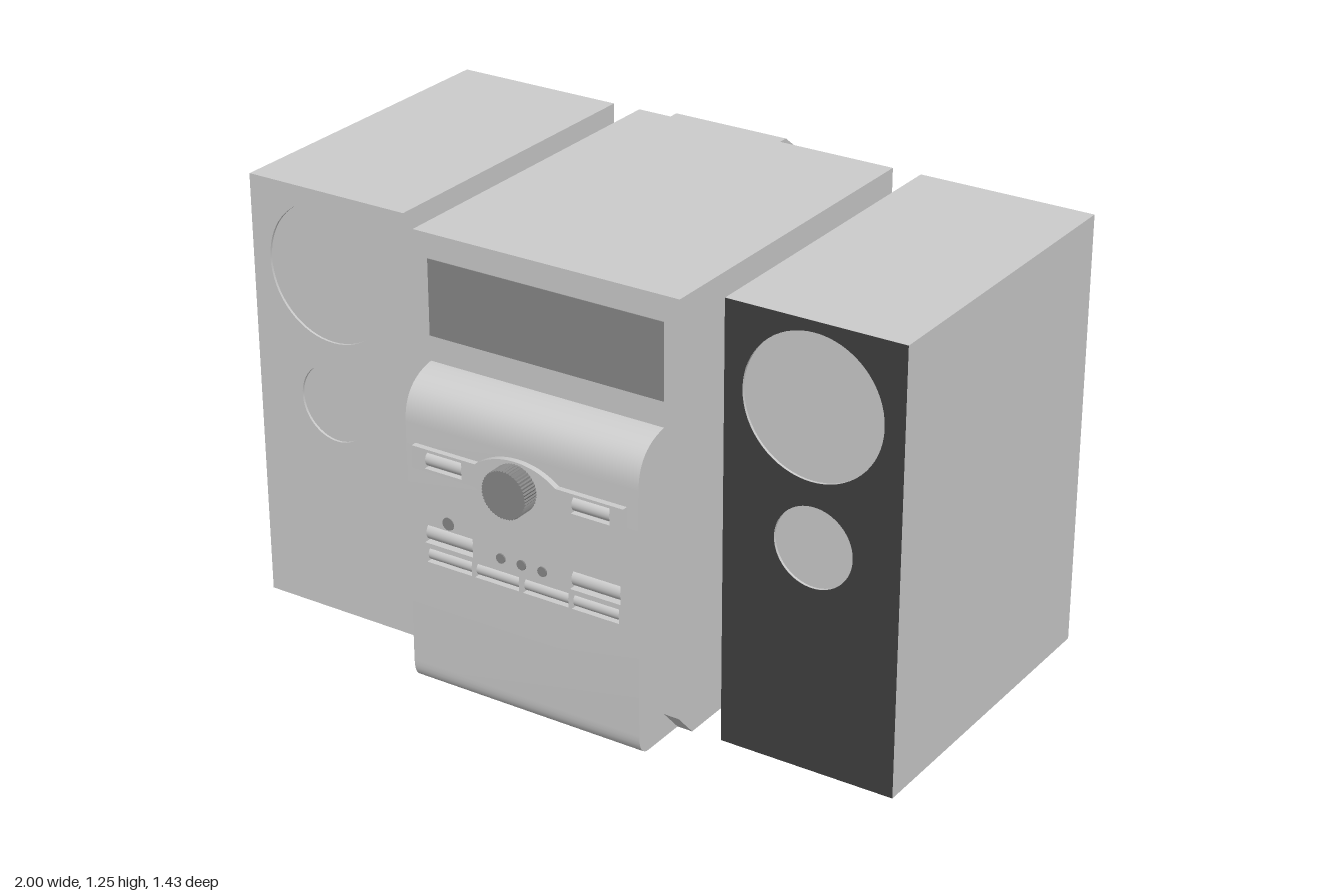
import * as THREE from 'three';
import { toCreasedNormals } from 'three/addons/utils/BufferGeometryUtils.js';

const paint = (color) => new THREE.MeshStandardMaterial({ color });
const grey = paint(0xcccccc), darkGrey = paint(0x888888), black = paint(0x404040);

function add(parent, name, geometry, material = grey) {
  const mesh = new THREE.Mesh(geometry, material);
  mesh.name = name;
  parent.add(mesh);
  return mesh;
}

// Box given by its limits on each axis
function box(x0, x1, y0, y1, z0, z1) {
  return new THREE.BoxGeometry(x1 - x0, y1 - y0, z1 - z0)
    .translate((x0 + x1) / 2, (y0 + y1) / 2, (z0 + z1) / 2);
}

function rect(x0, x1, y0, y1, Type = THREE.Shape) {
  return new Type([[x0, y0], [x1, y0], [x1, y1], [x0, y1]].map((p) => new THREE.Vector2(...p)));
}

function disc(x, y, r, Type = THREE.Path) {
  return new Type().absarc(x, y, r, 0, Math.PI * 2, false);
}

// Front-facing shape given thickness from z0 to z1
function plate(shape, z0, z1) {
  const g = new THREE.ExtrudeGeometry(shape, { depth: z1 - z0, bevelEnabled: false, curveSegments: 32 });
  return toCreasedNormals(g.translate(0, 0, z0), 0.5);
}

// Side profile of [z, y] points swept from x0 to x1
function sweep(points, x0, x1) {
  const shape = new THREE.Shape(points.map(([z, y]) => new THREE.Vector2(-z, y)));
  const g = new THREE.ExtrudeGeometry(shape, { depth: x1 - x0, bevelEnabled: false });
  return toCreasedNormals(g.rotateY(Math.PI / 2).translate(x0, 0, 0), 0.5);
}

function curve(a, b, c, n = 12) {
  const v = (p) => new THREE.Vector2(...p);
  return new THREE.QuadraticBezierCurve(v(a), v(b), v(c)).getPoints(n).map((p) => [p.x, p.y]);
}

// Horizontal roller-shaped button
function roller(x0, x1, y, z, r) {
  return new THREE.CylinderGeometry(r, r, x1 - x0, 24).rotateZ(Math.PI / 2).translate((x0 + x1) / 2, y, z);
}

function dial(x, y, r, z0, z1) {
  return new THREE.CylinderGeometry(r, r, z1 - z0, 24).rotateX(Math.PI / 2).translate(x, y, (z0 + z1) / 2);
}

function speaker(name, x0, x1, drivers, frontMaterial) {
  const g = new THREE.Group();
  g.name = name;
  add(g, 'speakerBox', box(x0, x1, 0, 1.25, -0.51, 0.452));
  // Front baffle with shallow round driver openings
  const front = rect(x0, x1, 0, 1.25);
  drivers.forEach(([x, y, r]) => front.holes.push(disc(x, y, r)));
  // Only the forward face takes the baffle colour; its rim matches the box
  add(g, 'speakerBaffle', plate(front, 0.452, 0.459));
  add(g, 'speakerFront', new THREE.ShapeGeometry(front, 32).translate(0, 0, 0.46), frontMaterial);
  return g;
}

function controlPanel() {
  const g = new THREE.Group();
  g.name = 'controlPanel';
  // Bulging body with a notch that takes the button plate
  add(g, 'panelBody', sweep([
    [0.465, 0], ...curve([0.6, 0], [0.645, 0], [0.645, 0.06], 8),
    [0.645, 0.34], [0.61, 0.34], [0.61, 0.53], [0.645, 0.53],
    ...curve([0.645, 0.765], [0.645, 0.875], [0.53, 0.893]), [0.465, 0.893],
  ], -0.36, 0.36));

  // Button plate with wells, and a roller in each well
  const buttons = [
    [-0.31, -0.155, 0.455, 0.027], [0.15, 0.305, 0.455, 0.027],
    [-0.305, -0.16, 0.393, 0.021], [-0.15, -0.01, 0.393, 0.021],
    [0.002, 0.145, 0.393, 0.021], [0.155, 0.3, 0.393, 0.021],
  ];
  const face = rect(-0.36, 0.36, 0.34, 0.53);
  buttons.forEach(([x0, x1, y, r]) => {
    face.holes.push(rect(x0, x1, y - r, y + r, THREE.Path));
    add(g, 'button', roller(x0 + 0.003, x1 - 0.003, y, 0.645 - r, r - 0.002));
  });
  add(g, 'buttonPlate', plate(face, 0.61, 0.645));

  // Indicator lamps
  for (const x of [-0.065, 0, 0.065]) add(g, 'lamp', dial(x, 0.453, 0.014, 0.64, 0.649), darkGrey);
  add(g, 'powerLamp', dial(-0.232, 0.504, 0.018, 0.64, 0.647), darkGrey);

  // Bezel: a bar widening to an eye around the knob
  const y = 0.68, bezel = new THREE.Shape();
  bezel.moveTo(-0.33, y - 0.032).lineTo(-0.13, y - 0.032);
  bezel.bezierCurveTo(-0.06, y - 0.087, 0.05, y - 0.087, 0.12, y - 0.032);
  bezel.lineTo(0.325, y - 0.032).lineTo(0.325, y + 0.032).lineTo(0.12, y + 0.032);
  bezel.bezierCurveTo(0.05, y + 0.087, -0.06, y + 0.087, -0.13, y + 0.032);
  bezel.lineTo(-0.33, y + 0.032);
  for (const [x0, x1] of [[-0.29, -0.172], [0.167, 0.285]]) {
    bezel.holes.push(rect(x0, x1, y - 0.024, y + 0.024, THREE.Path));
    add(g, 'bezelButton', roller(x0 + 0.002, x1 - 0.002, y, 0.64, 0.022));
  }
  add(g, 'bezel', plate(bezel, 0.64, 0.662));

  // Ribbed knob
  const ribs = [];
  for (let i = 0; i < 96; i++) {
    const a = i * Math.PI / 48, r = i % 2 ? 0.065 : 0.068;
    ribs.push(new THREE.Vector2(-0.004 + r * Math.cos(a), y + r * Math.sin(a)));
  }
  add(g, 'knob', plate(new THREE.Shape(ribs), 0.66, 0.713), darkGrey);
  return g;
}

function backVent() {
  const g = new THREE.Group();
  g.name = 'backVent';
  add(g, 'ventHousing', sweep([
    [-0.5, 0.855], [-0.5, 1.21], [-0.63, 1.21], [-0.705, 1.153], [-0.705, 0.869],
  ], -0.36, 0));
  // Perforated grille with staggered slots
  const grille = rect(-0.36, 0, 0.87, 1.146);
  for (let row = 0; row < 14; row++) {
    for (let col = 0; col < 12; col++) {
      const x = -0.338 + col * 0.0258 + (row % 2) * 0.012, y = 0.887 + row * 0.0175;
      grille.holes.push(rect(x, x + 0.019, y, y + 0.011, THREE.Path));
    }
  }
  add(g, 'ventGrille', plate(grille, -0.715, -0.705));
  add(g, 'ventShadow', box(-0.345, -0.015, 0.88, 1.135, -0.707, -0.7055), black);
  return g;
}

export function createModel() {
  const model = new THREE.Group();
  model.name = 'stereoSystem';

  model.add(speaker('rightSpeaker', -1, -0.49, [[-0.744, 1.02, 0.2], [-0.744, 0.64, 0.113]], grey));
  model.add(speaker('leftSpeaker', 0.49, 1, [[0.743, 1.02, 0.2], [0.753, 0.64, 0.113]], black));

  // Main unit with a fascia chamfered at the bottom
  const unit = new THREE.Group();
  unit.name = 'mainUnit';
  add(unit, 'cabinet', box(-0.405, 0.405, 0, 1.25, -0.51, 0.465));
  add(unit, 'fascia', sweep([[0.465, 0], [0.53, 0.07], [0.53, 1.25], [0.465, 1.25]], -0.405, 0.405));
  add(unit, 'display', box(-0.36, 0.36, 0.965, 1.18, 0.52, 0.532), darkGrey);
  unit.add(controlPanel(), backVent());
  model.add(unit);
  return model;
}
